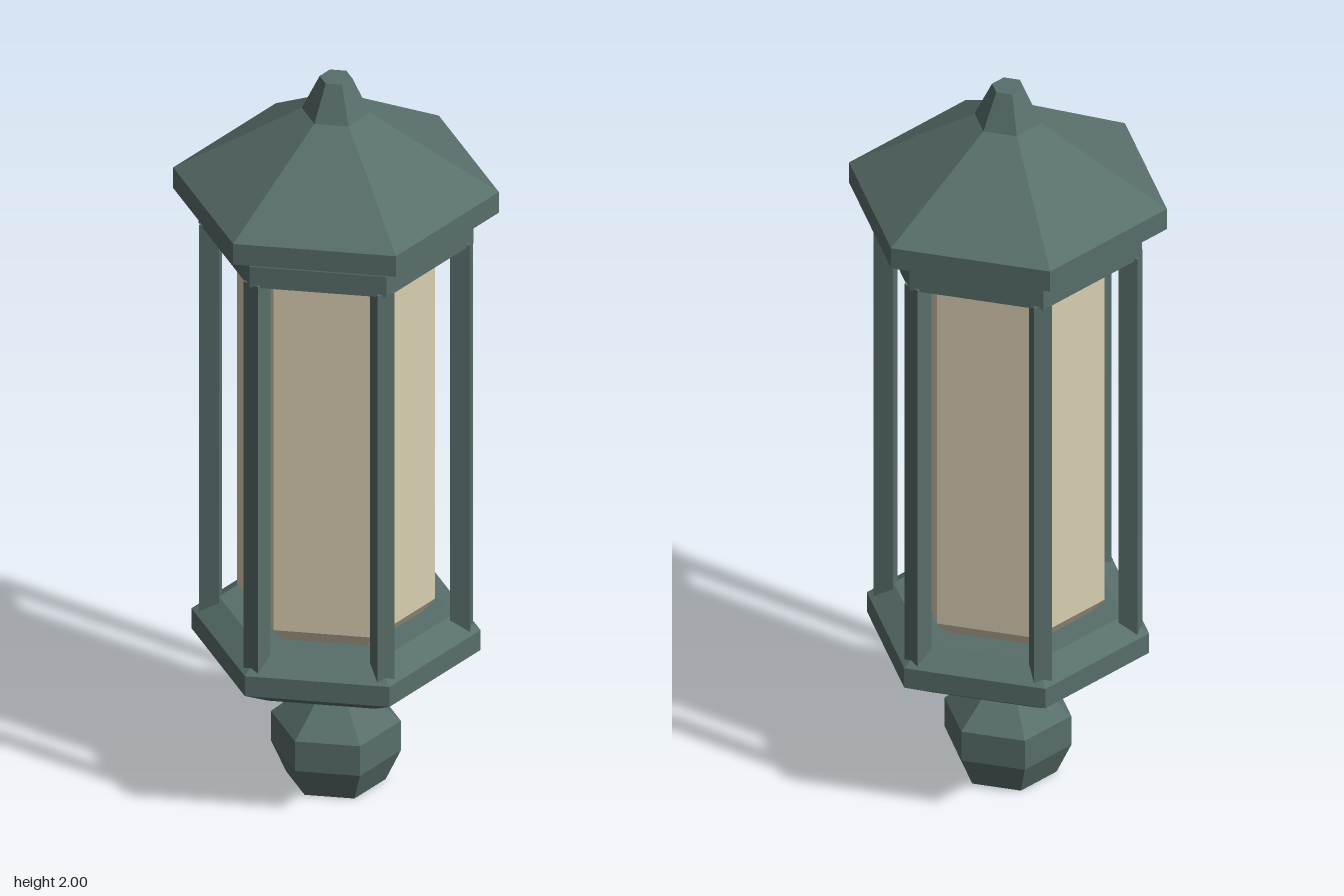
import * as THREE from 'three';

const SIDES = 6;

const metal = new THREE.MeshStandardMaterial({ color: 0x586e6a, flatShading: true });
metal.name = 'weathered green metal';
const glass = new THREE.MeshStandardMaterial({ color: 0xd9ceb2, flatShading: true });
glass.name = 'frosted cream glass';

// Closed hexagonal solid from [corner radius, height] pairs, listed bottom to top
function hexSolid(name, profile, material) {
  const points = [[0, profile[0][1]], ...profile, [0, profile.at(-1)[1]]]
    .map(([r, y]) => new THREE.Vector2(r, y));
  const geometry = new THREE.LatheGeometry(points, SIDES).toNonIndexed();
  geometry.computeVertexNormals();
  const mesh = new THREE.Mesh(geometry, material);
  mesh.name = name;
  return mesh;
}

export function createModel() {
  const lantern = new THREE.Group();
  lantern.name = 'lantern';

  lantern.add(
    // Finial and stem below the lantern
    hexSolid('bottomFinial', [[0.125, 0], [0.163, 0.085], [0.163, 0.17], [0.08, 0.245]], metal),
    hexSolid('stem', [[0.08, 0.24], [0.08, 0.34]], metal),
    // Base tray, bevelled above and below
    hexSolid('baseTray', [[0.27, 0.335], [0.363, 0.39], [0.363, 0.447], [0.294, 0.487]], metal),
    // Glass with chamfered ends
    hexSolid('glass', [[0.214, 0.485], [0.248, 0.527], [0.248, 1.505], [0.205, 1.556]], glass),
    // Collar under the eaves
    hexSolid('collar', [[0.345, 1.553], [0.345, 1.612], [0.322, 1.65]], metal),
    // Roof with its eave band, and the cap on the peak
    hexSolid('roof', [[0.409, 1.647], [0.409, 1.706], [0.086, 1.905]], metal),
    hexSolid('roofCap', [[0.086, 1.905], [0.041, 2]], metal),
  );

  // One square post at each corner of the hexagon
  const posts = new THREE.Group();
  posts.name = 'posts';
  const postGeometry = new THREE.BoxGeometry(0.046, 1.12, 0.05);
  for (let i = 0; i < SIDES; i++) {
    const angle = (i / SIDES) * Math.PI * 2;
    const post = new THREE.Mesh(postGeometry, metal);
    post.name = 'post';
    post.position.set(Math.sin(angle) * 0.315, 1.0, Math.cos(angle) * 0.315);
    post.rotation.y = angle;
    posts.add(post);
  }
  lantern.add(posts);

  return lantern;
}
